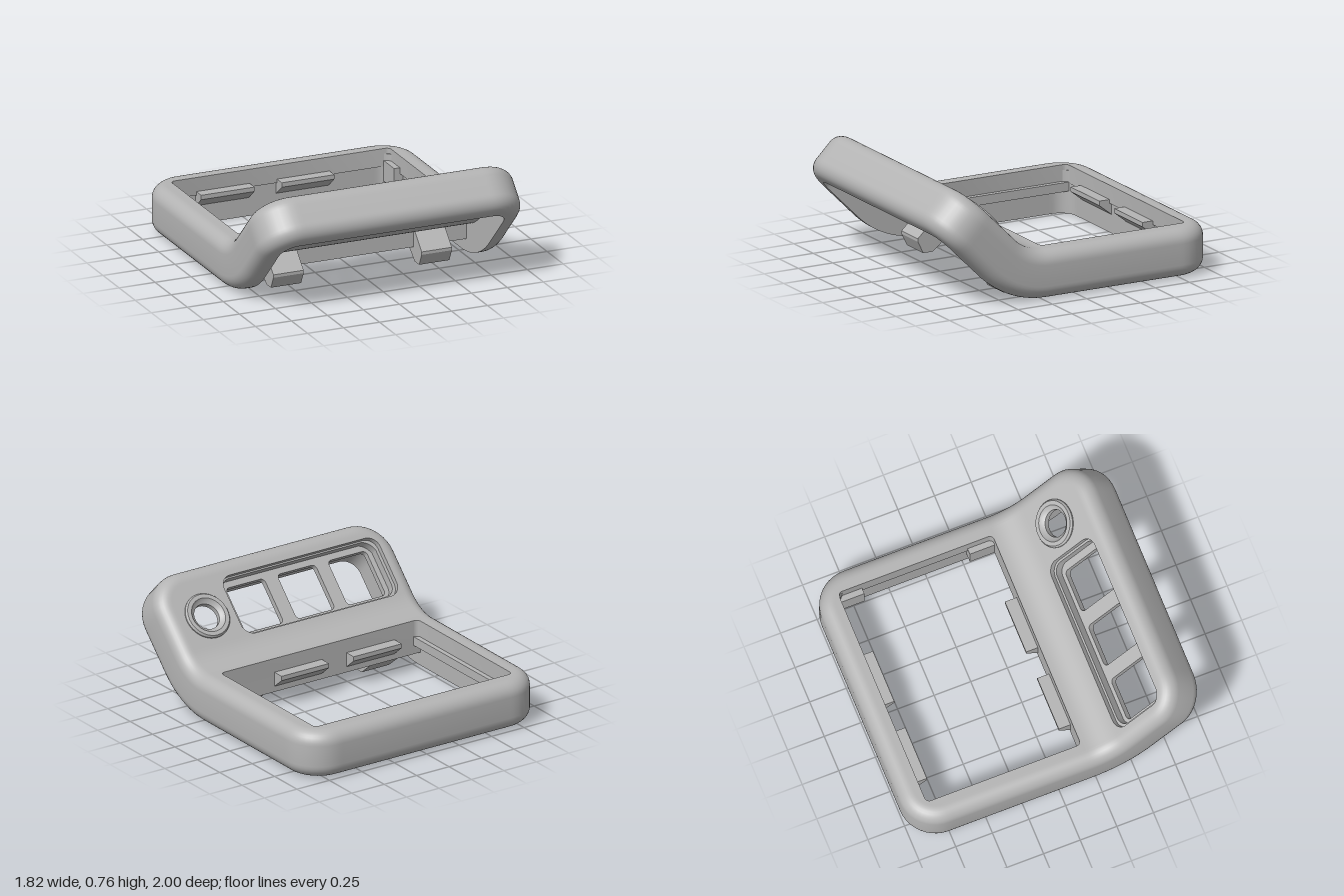
import * as THREE from 'three';
import { toCreasedNormals } from 'three/addons/utils/BufferGeometryUtils.js';

const HALF_W = 0.91, T = 0.32;          // half width, thickness
const U_MIN = -1, BEND = 0.216, R_TOP = 0.3, ARC = 0.361;
const S0 = BEND + ARC;                   // start of the sloped part
const U_MAX = S0 + 0.547;
const CORNER = 0.24;

// Bends a flat part (y = height, z = length) upward by 45 degrees
function bend(geo) {
  const p = geo.attributes.position;
  const c = R_TOP + T;
  for (let i = 0; i < p.count; i++) {
    const v = p.getY(i), u = p.getZ(i);
    if (u <= BEND) continue;
    const a = Math.min((u - BEND) / ARC, 1) * Math.PI / 4;
    const s = Math.max(u - S0, 0) * Math.SQRT1_2;
    p.setY(i, c - (c - v) * Math.cos(a) + s);
    p.setZ(i, BEND + (c - v) * Math.sin(a) + s);
  }
  return toCreasedNormals(geo, 0.6);
}

// Rounded rectangle in plan; rBack and rFront are the corner radii
function plan(x0, u0, x1, u1, rBack, rFront = rBack, Type = THREE.Shape) {
  const s = new Type();
  const corner = (x, y, r, a) => s.absarc(x, y, r, a, a + Math.PI / 2, false);
  corner(x1 - rBack, -u0 - rBack, rBack, 0);
  corner(x0 + rBack, -u0 - rBack, rBack, Math.PI / 2);
  corner(x0 + rFront, -u1 + rFront, rFront, Math.PI);
  corner(x1 - rFront, -u1 + rFront, rFront, Math.PI * 1.5);
  s.closePath();
  return s;
}
const hole = (x0, u0, x1, u1, r) => plan(x0, u0, x1, u1, r, r, THREE.Path);

// Plate between two heights, bent along with the body
function plate(shape, holes, v0, v1) {
  shape.holes = holes;
  const g = new THREE.ExtrudeGeometry(shape, { depth: v1 - v0, bevelEnabled: false, curveSegments: 10 });
  g.rotateX(-Math.PI / 2).translate(0, v0, 0);
  return bend(g);
}

// Prism along x from a (z, y) profile
function prism(points, x0, x1) {
  const s = new THREE.Shape(points.map(([z, y]) => new THREE.Vector2(z, y)));
  const g = new THREE.ExtrudeGeometry(s, { depth: x1 - x0, bevelEnabled: false });
  return g.rotateY(-Math.PI / 2).translate(x1, 0, 0);
}

function box(x0, x1, y0, y1, z0, z1) {
  return new THREE.BoxGeometry(x1 - x0, y1 - y0, z1 - z0)
    .translate((x0 + x1) / 2, (y0 + y1) / 2, (z0 + z1) / 2);
}

// Rounded wall running round the whole outline
function outerWall() {
  const f = 0.09, section = [[0.13, 0.285], [0.1, 0.285], [0.1, T]];
  for (let i = 0; i <= 8; i++) {
    const a = i / 8 * Math.PI / 2;
    section.push([f - f * Math.sin(a), T - f + f * Math.cos(a)]);
  }
  for (let i = 0; i <= 8; i++) {
    const a = i / 8 * Math.PI / 2;
    section.push([f - f * Math.cos(a), f - f * Math.sin(a)]);
  }
  section.push([0.13, 0]);

  // Outline: corner centres with outward directions
  const cx = HALF_W - CORNER, lo = U_MIN + CORNER, hi = U_MAX - CORNER;
  const centres = [[cx, hi], [cx, lo], [-cx, lo], [-cx, hi]];
  const outline = [];
  centres.forEach(([x, u], k) => {
    const [nx, nu] = centres[(k + 1) % 4];
    for (let i = 0; i <= 10; i++) {
      const a = Math.PI / 2 * (1 - k - i / 10);
      outline.push([x, u, Math.cos(a), Math.sin(a)]);
    }
    const end = Math.PI / 2 * -k;
    for (let i = 1; i < 50; i++) {
      const t = i / 50;
      outline.push([x + (nx - x) * t, u + (nu - u) * t, Math.cos(end), Math.sin(end)]);
    }
  });

  const pos = [], index = [], n = outline.length, m = section.length;
  for (const [x, u, dx, du] of outline)
    for (const [inset, v] of section) {
      const r = CORNER - inset;
      pos.push(x + dx * r, v, u + du * r);
    }
  for (let i = 0; i < n; i++)
    for (let j = 0; j < m; j++) {
      const i2 = (i + 1) % n, j2 = (j + 1) % m;
      const a = i * m + j, b = i * m + j2, c = i2 * m + j2, d = i2 * m + j;
      index.push(a, b, c, a, c, d);
    }
  const g = new THREE.BufferGeometry();
  g.setAttribute('position', new THREE.Float32BufferAttribute(pos, 3));
  g.setIndex(index);
  return bend(g);
}

export function createModel() {
  const model = new THREE.Group();
  const grey = new THREE.MeshStandardMaterial({ color: 0xb4b4b4 });
  grey.name = 'grey plastic';
  const add = (name, geo) => {
    const mesh = new THREE.Mesh(geo, grey);
    mesh.name = name;
    model.add(mesh);
    return mesh;
  };

  add('outerWall', outerWall());

  // Rim round the large rear opening
  add('rearRim', plate(plan(-0.81, -0.9, 0.81, BEND, 0.14, 0.001),
    [hole(-0.76, -0.855, 0.76, 0.2, 0.03)], 0.2, T));

  // Curved deck joining the flat frame to the slope
  const deck = new THREE.BoxGeometry(1.62, 0.13, ARC, 1, 1, 14).translate(0, 0.255, BEND + ARC / 2);
  add('curvedDeck', bend(deck));

  // Sloped panel: top skin, pocket walls and pocket floor with three windows
  const s = (d) => S0 + d;
  const bx = 0.61, bu = s(0.197);
  const buttonHole = new THREE.Path();
  buttonHole.absarc(bx, -bu, 0.1, 0, Math.PI * 2, false);
  add('panelSkin', plate(plan(-0.81, S0, 0.81, s(0.447), 0.001, 0.14),
    [hole(-0.795, s(0.006), 0.405, s(0.422), 0.08), buttonHole], 0.285, T));
  add('pocketWalls', plate(plan(-0.79, S0, 0.415, s(0.43), 0.001, 0.1),
    [hole(-0.775, s(0.022), 0.39, s(0.412), 0.07)], 0.23, 0.285));
  const windows = [-0.74, -0.35, 0.045].map(x => hole(x, s(0.05), x + 0.295, s(0.37), 0.03));
  add('pocketFloor', plate(plan(-0.79, S0, 0.415, s(0.43), 0.001, 0.1), windows, 0.19, 0.23));

  // Raised collar round the round hole
  const collar = [[0.088, 0.28], [0.105, 0.28], [0.155, 0.315], [0.155, 0.328], [0.145, 0.342],
    [0.118, 0.342], [0.104, 0.325], [0.088, 0.315], [0.088, 0.28]];
  const ring = new THREE.LatheGeometry(collar.map(([r, v]) => new THREE.Vector2(r, v)), 48);
  add('buttonCollar', bend(ring.translate(bx, 0, bu)));

  // Cross wall below the deck, with two hooks in front of it
  add('crossWall', box(-0.79, 0.79, 0.09, 0.24, 0.2, 0.3));
  const hook = [[0.21, 0.24], [0.29, 0.235], [0.43, 0.1], [0.43, 0.08], [0.39, 0], [0.32, 0], [0.21, 0.09]];
  for (const x of [-0.62, 0.41]) add('hook', prism(hook, x, x + 0.21));

  // Snap tabs on the front and back of the opening
  for (const [x0, x1] of [[-0.58, -0.21], [-0.02, 0.345]]) {
    add('frontTab', prism([[0.21, 0.225], [0.12, 0.225], [0.12, 0.195], [0.21, 0.12]], x0, x1));
    add('backTab', prism([[-0.875, 0.12], [-0.78, 0.195], [-0.78, 0.225], [-0.875, 0.225]], x0, x1));
  }

  // Stops on the left wall and a ledge on the right wall
  add('sideStop', box(0.72, 0.79, 0.1, 0.24, -0.87, -0.69));
  add('sideStop', box(0.72, 0.79, 0.1, 0.24, 0.03, 0.21));
  add('sideLedge', box(-0.79, -0.727, 0.15, 0.21, -0.87, 0.21));

  return model;
}
